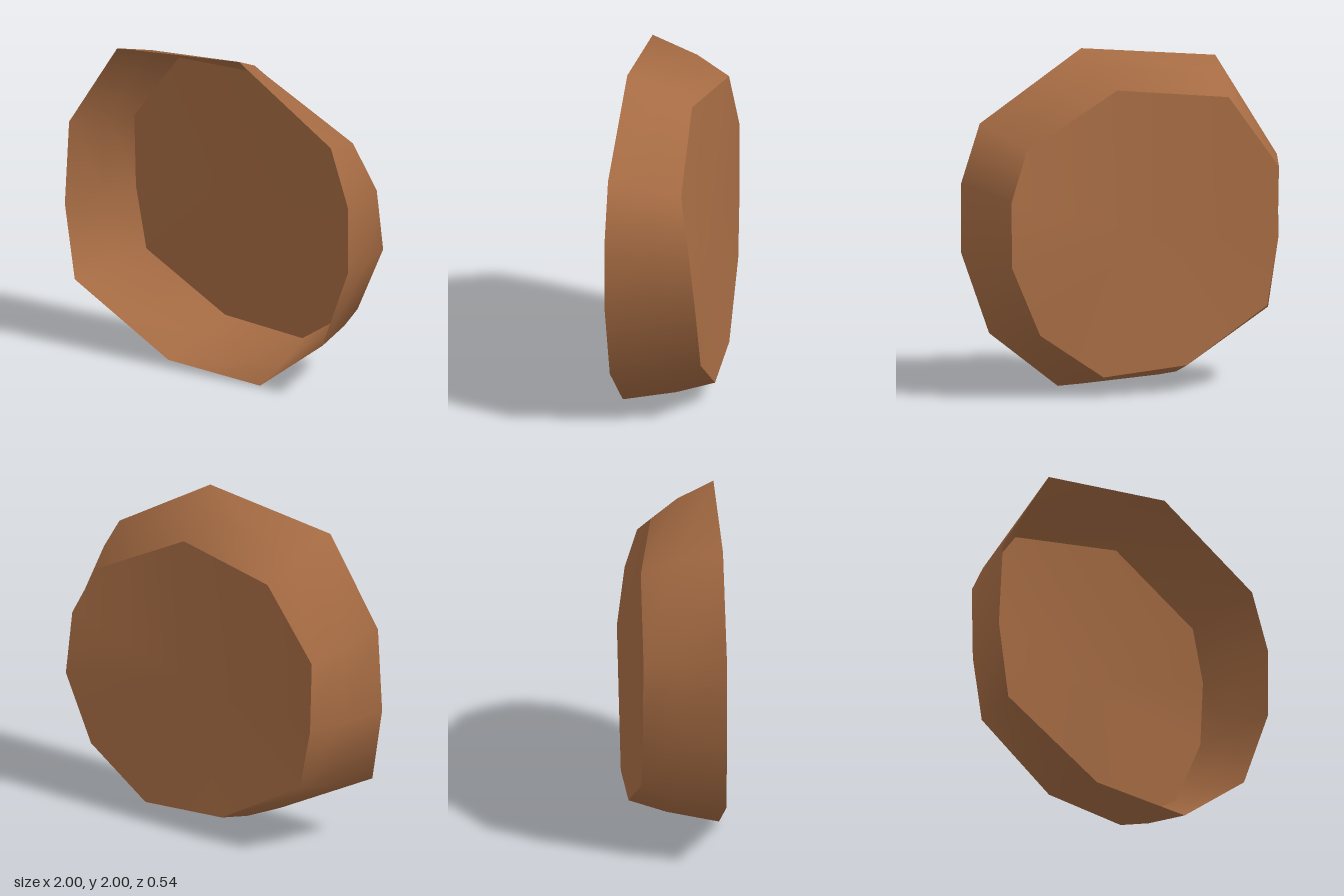
import * as THREE from 'three';

// Irregular eleven-sided open shell: rim and floor corners, clockwise from the top
const RIM_Z = 0.27;
const RIM = [
  [0.23, 2.0], [0.88, 1.59], [1.0, 1.24], [1.0, 0.83], [0.82, 0.34], [0.38, 0.0],
  [-0.27, 0.03], [-0.93, 0.4], [-1.0, 0.86], [-0.97, 1.38], [-0.63, 1.91],
];
const FLOOR = [
  [0.16, 1.795, -0.105], [0.76, 1.47, -0.145], [0.885, 1.18, -0.21], [0.9, 0.8, -0.255],
  [0.72, 0.39, -0.255], [0.32, 0.12, -0.27], [-0.22, 0.16, -0.26], [-0.75, 0.48, -0.22],
  [-0.82, 0.86, -0.215], [-0.83, 1.3, -0.212], [-0.51, 1.73, -0.207],
];

function buildGeometry(points, index) {
  const geometry = new THREE.BufferGeometry();
  geometry.setAttribute('position', new THREE.Float32BufferAttribute(points.flat(), 3));
  geometry.setIndex(index);
  geometry.computeVertexNormals();
  return geometry;
}

export function createModel() {
  const group = new THREE.Group();
  group.name = 'openShell';
  const brown = new THREE.MeshStandardMaterial({ color: 0xa56b43, side: THREE.DoubleSide });
  brown.name = 'warm brown';
  const n = RIM.length;

  const add = (name, points, index) => {
    const mesh = new THREE.Mesh(buildGeometry(points, index), brown);
    mesh.name = name;
    group.add(mesh);
  };

  // Wall: rim, slightly bulging middle ring, floor edge
  const rim = RIM.map(([x, y]) => [x, y, RIM_Z]);
  const middle = rim.map((p, i) => p.map((v, k) => THREE.MathUtils.lerp(v, FLOOR[i][k], k === 2 ? 0.58 : 0.47)));
  const wallIndex = [];
  for (let r = 0; r < 2; r++) {
    for (let i = 0; i < n; i++) {
      const j = (i + 1) % n;
      const a = r * n + i, b = r * n + j, c = a + n, d = b + n;
      wallIndex.push(a, b, c, b, d, c);
    }
  }
  add('wall', [...rim, ...middle, ...FLOOR], wallIndex);

  // Floor: slightly warped fan around its centre
  const floorIndex = [];
  for (let i = 0; i < n; i++) floorIndex.push(n, i, (i + 1) % n);
  add('floor', [...FLOOR, [0.04, 0.95, -0.21]], floorIndex);

  return group;
}
